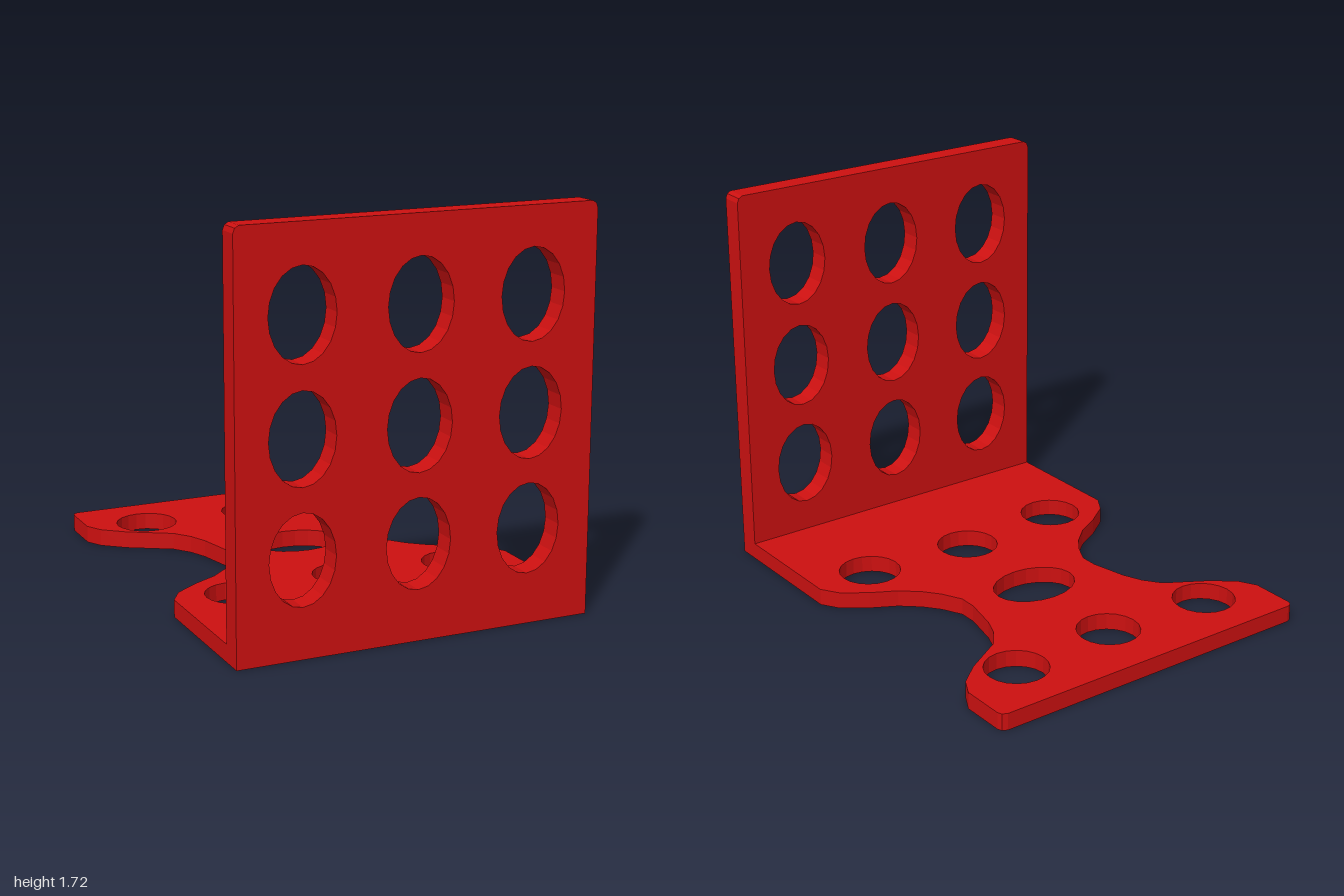
import * as THREE from 'three';

const HALF_WIDTH = 0.78;
const BASE_THICKNESS = 0.075;
const WALL_THICKNESS = 0.1;
const WALL_HEIGHT = 1.72;

// Closed shape from the +x half of an outline, mirrored across x = 0
function mirroredShape(half) {
  const points = half.map(([x, y]) => new THREE.Vector2(x, y));
  const mirrored = half.map(([x, y]) => new THREE.Vector2(-x, y)).reverse();
  return new THREE.Shape([...points, ...mirrored]);
}

function addHole(shape, x, y, rx, ry) {
  const hole = new THREE.Path();
  hole.absellipse(x, y, rx, ry, 0, Math.PI * 2, true);
  shape.holes.push(new THREE.Path(hole.getPoints(10).slice(0, -1)));
}

function extrude(shape, depth) {
  return new THREE.ExtrudeGeometry(shape, { depth, bevelEnabled: false });
}

export function createModel() {
  const group = new THREE.Group();
  const red = new THREE.MeshStandardMaterial({ color: 0xcc1010 });

  // Upright plate with a 3 x 3 grid of oval holes and softened top corners
  const wall = mirroredShape([
    [HALF_WIDTH, 0], [HALF_WIDTH, WALL_HEIGHT - 0.03],
    [HALF_WIDTH - 0.008, WALL_HEIGHT - 0.01], [HALF_WIDTH - 0.025, WALL_HEIGHT],
  ]);
  for (const x of [-0.5, 0, 0.495]) {
    for (const y of [0.405, 0.885, 1.365]) addHole(wall, x, y, 0.142, 0.19);
  }
  const wallGeometry = extrude(wall, WALL_THICKNESS);
  wallGeometry.translate(0, 0, 1 - WALL_THICKNESS);
  const uprightPlate = new THREE.Mesh(wallGeometry, red);
  uprightPlate.name = 'uprightPlate';

  // Waisted base plate, drawn as x and z
  const base = mirroredShape([
    [HALF_WIDTH - 0.03, -1], [HALF_WIDTH - 0.008, -0.99], [HALF_WIDTH, -0.97],
    [HALF_WIDTH, -0.775], [0.74, -0.7], [0.645, -0.62], [0.46, -0.51],
    [0.405, -0.435], [0.37, -0.35], [0.335, -0.19], [0.335, -0.11],
    [0.38, -0.02], [0.435, 0.05], [0.515, 0.12], [0.625, 0.18],
    [0.73, 0.255], [HALF_WIDTH, 0.335], [HALF_WIDTH, 1 - WALL_THICKNESS],
  ]);
  for (const x of [-0.51, 0.503]) {
    for (const z of [-0.725, 0.363]) addHole(base, x, z, 0.137, 0.137);
  }
  for (const z of [-0.698, 0.32]) addHole(base, 0, z, 0.137, 0.137);
  addHole(base, 0, -0.183, 0.195, 0.147);
  const baseGeometry = extrude(base, BASE_THICKNESS);
  baseGeometry.rotateX(Math.PI / 2).translate(0, BASE_THICKNESS, 0);
  const basePlate = new THREE.Mesh(baseGeometry, red);
  basePlate.name = 'basePlate';

  group.add(uprightPlate, basePlate);
  return group;
}
